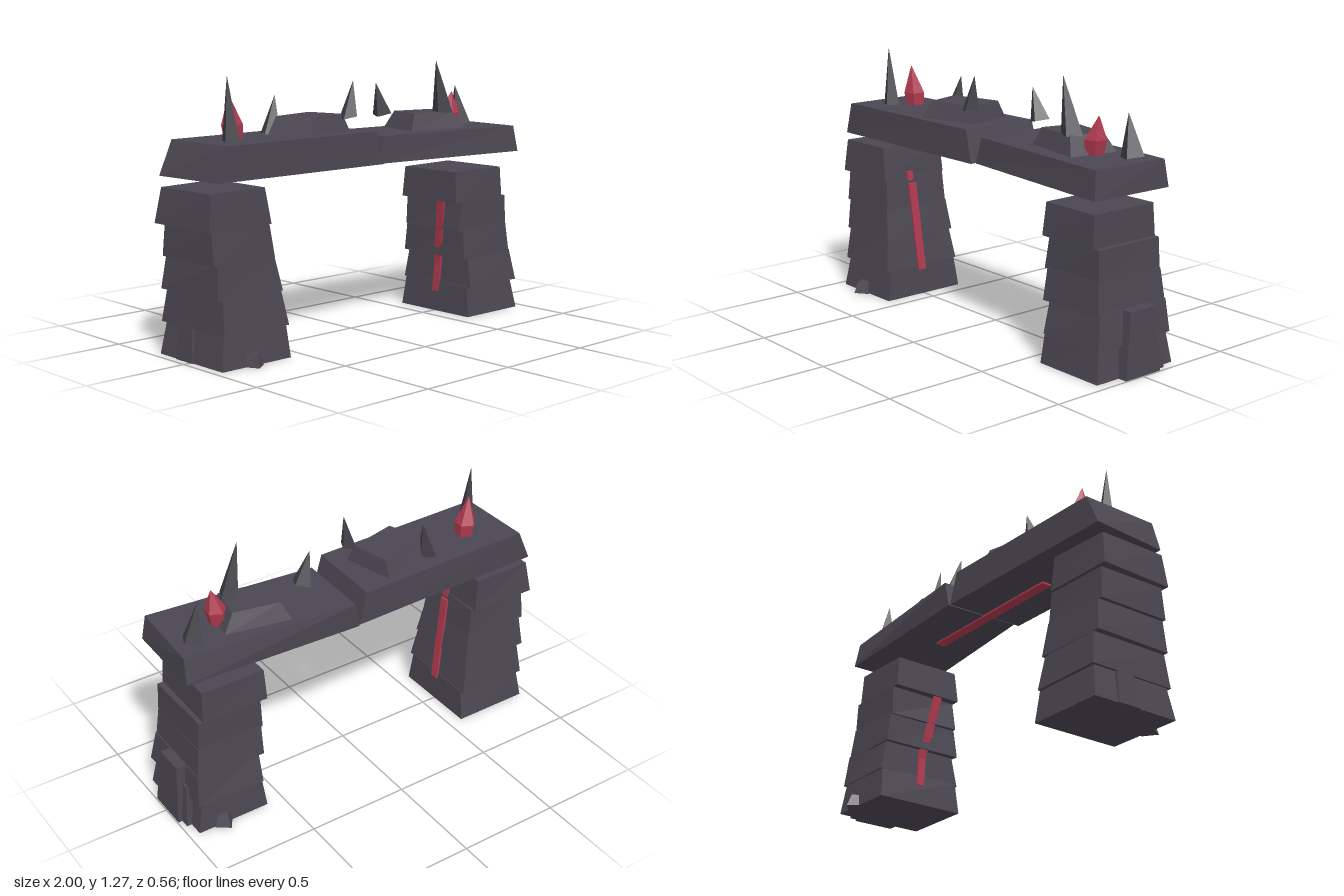
import * as THREE from 'three';

const stone = new THREE.MeshStandardMaterial({ color: 0x4b4752 });
stone.name = 'dark stone';
const spikeStone = new THREE.MeshStandardMaterial({ color: 0x403e45 });
spikeStone.name = 'spike stone';
const ember = new THREE.MeshStandardMaterial({ color: 0xb03a4e });
ember.name = 'red crystal';

// Small seeded noise in -1..1
let seed = 7;
const noise = () => {
  seed = (seed * 16807) % 2147483647;
  return (seed / 2147483647) * 2 - 1;
};

// Flat-faced solid through rings of [x, y, z], ordered counter-clockwise from above, bottom to top
function loft(name, material, rings) {
  const pos = [];
  const tri = (a, b, c) => pos.push(...a, ...b, ...c);
  const n = rings[0].length;
  for (let r = 0; r < rings.length - 1; r++) {
    for (let i = 0; i < n; i++) {
      const j = (i + 1) % n;
      const lo = rings[r], hi = rings[r + 1];
      tri(lo[i], lo[j], hi[j]);
      tri(lo[i], hi[j], hi[i]);
    }
  }
  const top = rings[rings.length - 1], base = rings[0];
  for (let i = 1; i < n - 1; i++) {
    tri(base[0], base[i + 1], base[i]);
    tri(top[0], top[i], top[i + 1]);
  }
  const g = new THREE.BufferGeometry();
  g.setAttribute('position', new THREE.Float32BufferAttribute(pos, 3));
  g.computeVertexNormals();
  const m = new THREE.Mesh(g, material);
  m.name = name;
  return m;
}

// Rectangle ring, corners listed front left, front right, back right, back left
const rect = (x0, x1, z0, z1, y, jitter = 0) =>
  [[x0, z1], [x1, z1], [x1, z0], [x0, z0]].map(([x, z]) =>
    [x + noise() * jitter, y + noise() * jitter * 0.4, z + noise() * jitter]);

const at = (y, corners) => corners.map(([x, z]) => [x, y, z]);

// Regular polygon ring
const poly = (n, x, y, z, r, turn = 0) => Array.from({ length: n }, (_, i) => {
  const a = turn + (i / n) * Math.PI * 2;
  return [x + Math.cos(a) * r, y, z - Math.sin(a) * r];
});

// Stack of rough courses: [y0, y1, bottom x0, bottom x1, top x0, top x1, half depth bottom, half depth top]
function pillar(name, courses) {
  const g = new THREE.Group();
  g.name = name;
  courses.forEach(([y0, y1, a0, a1, b0, b1, db, dt], i) => {
    const bottom = rect(a0, a1, -db, db, y0, i ? 0.006 : 0);
    bottom.forEach((p) => { p[1] = y0; });
    g.add(loft('course' + (i + 1), stone, [bottom, rect(b0, b1, -dt, dt, y1, 0.006)]));
  });
  return g;
}

// Thin strip lying on an inner pillar face, from point a down to point b
function vein(name, a, b, width, side) {
  const strip = ([x, y, z]) => {
    const h = width / 2, t = 0.012;
    const [x0, x1] = side > 0 ? [x - t, x] : [x, x + t];
    return rect(x0, x1, z - h, z + h, y);
  };
  return loft(name, ember, [strip(b), strip(a)]);
}

export function createModel() {
  const model = new THREE.Group();
  model.name = 'ruinedStoneGate';

  // Pillars
  const right = pillar('rightPillar', [
    [0, 0.155, -0.96, -0.575, -0.94, -0.585, 0.225, 0.205],
    [0.15, 0.31, -0.95, -0.585, -0.935, -0.61, 0.22, 0.195],
    [0.305, 0.46, -0.965, -0.6, -0.95, -0.63, 0.2, 0.185],
    [0.455, 0.61, -0.975, -0.625, -0.965, -0.645, 0.185, 0.175],
    [0.605, 0.767, -1.0, -0.65, -0.98, -0.67, 0.185, 0.175],
  ]);
  const left = pillar('leftPillar', [
    [0, 0.15, 0.585, 0.95, 0.6, 0.925, 0.23, 0.21],
    [0.145, 0.3, 0.6, 0.945, 0.605, 0.925, 0.225, 0.2],
    [0.29, 0.44, 0.575, 0.925, 0.585, 0.905, 0.205, 0.19],
    [0.43, 0.58, 0.565, 0.91, 0.58, 0.9, 0.19, 0.18],
    [0.575, 0.728, 0.54, 0.875, 0.55, 0.87, 0.19, 0.175],
  ]);
  model.add(right, left);

  // Slabs and rubble leaning on the feet
  left.add(
    loft('buttress', stone, [rect(0.91, 0.995, -0.11, 0.1, 0), rect(0.9, 0.975, -0.09, 0.06, 0.3)]),
    loft('smallButtress', stone, [rect(0.91, 0.975, -0.155, -0.09, 0), rect(0.9, 0.95, -0.125, -0.08, 0.2)]),
    loft('rubble', stone, [
      at(0, [[0.75, -0.19], [0.85, -0.18], [0.87, -0.235], [0.81, -0.28]]),
      at(0.058, [[0.77, -0.19], [0.84, -0.18], [0.85, -0.225], [0.81, -0.255]]),
    ]),
  );
  right.add(
    loft('footSlab', stone, [rect(-0.967, -0.92, -0.1, 0.02, 0), rect(-0.952, -0.91, -0.09, 0.0, 0.15)]),
    loft('rubble', stone, [
      at(0, [[-0.8, 0.28], [-0.74, 0.235], [-0.76, 0.18], [-0.85, 0.19]]),
      at(0.058, [[-0.8, 0.255], [-0.75, 0.225], [-0.77, 0.18], [-0.83, 0.19]]),
    ]),
  );

  // Red veins on the inner faces
  right.add(
    vein('veinLong', [-0.628, 0.575, 0.025], [-0.572, 0.13, 0.01], 0.045, 1),
    vein('veinTip', [-0.64, 0.635, 0.03], [-0.635, 0.59, 0.03], 0.035, 1),
  );
  left.add(
    vein('veinUpper', [0.548, 0.58, 0.07], [0.575, 0.35, 0.03], 0.045, -1),
    vein('veinMiddle', [0.575, 0.37, 0.03], [0.59, 0.25, 0.01], 0.04, -1),
    vein('veinLower', [0.594, 0.29, 0.015], [0.588, 0.1, 0], 0.04, -1),
  );

  // Broken lintel in two halves
  const lintel = new THREE.Group();
  lintel.name = 'lintel';
  model.add(lintel);
  lintel.add(
    loft('lintelRight', stone, [
      at(0.812, [[-0.95, 0.2], [0.04, 0.185], [0.055, -0.22], [-0.975, -0.19]]),
      at(0.968, [[-0.905, 0.2], [0.0, 0.18], [0.012, -0.215], [-0.905, -0.19]]),
    ]),
    loft('lintelLeft', stone, [
      at(0.81, [[0.04, 0.155], [0.93, 0.243], [0.94, -0.19], [0.06, -0.225]]),
      at(0.938, [[0.075, 0.15], [0.915, 0.225], [0.935, -0.165], [0.085, -0.23]]),
    ]),
    loft('undersideVein', ember, [
      rect(-0.4, 0.44, -0.025, 0.025, 0.802),
      rect(-0.4, 0.44, -0.025, 0.025, 0.816),
    ]),
  );
  for (const x of [-0.22, 0.22]) {
    lintel.add(loft('veinNub', ember, [poly(4, x, 0.792, 0, 0.004), poly(4, x, 0.805, 0, 0.035)]));
  }

  // Raised rock slabs on top
  lintel.add(
    loft('rockRight', stone, [
      at(0.96, [[-0.38, 0.155], [-0.075, 0.08], [-0.14, -0.18], [-0.47, -0.1]]),
      at(1.048, [[-0.345, 0.11], [-0.1, 0.05], [-0.145, -0.135], [-0.4, -0.07]]),
    ]),
    loft('rockLeft', stone, [
      at(0.935, [[0.34, 0.07], [0.66, 0.13], [0.7, -0.11], [0.385, -0.17]]),
      at(1.02, [[0.38, 0.05], [0.61, 0.09], [0.64, -0.085], [0.42, -0.13]]),
    ]),
  );

  // Spikes: base x, y, z, radius, tip x, y, z, base tilt
  const spikes = [
    [-0.762, 0.965, 0.05, 0.045, -0.78, 1.25, 0.05, 0],
    [-0.42, 0.965, -0.09, 0.053, -0.385, 1.14, -0.1, 0],
    [-0.09, 1.035, 0.08, 0.046, -0.06, 1.2, 0.08, 0.01],
    [0.257, 1.02, -0.05, 0.05, 0.21, 1.17, -0.045, 0.012],
    [0.58, 1.015, 0.05, 0.055, 0.525, 1.27, 0.055, 0],
    [0.835, 0.94, -0.07, 0.058, 0.803, 1.13, -0.075, 0.01],
  ];
  for (const [x, y, z, r, tx, ty, tz, tilt] of spikes) {
    const base = poly(4, x, y, z, r, 0.35);
    base.forEach((p) => { p[1] += ((p[0] - x) / r) * tilt; });
    lintel.add(loft('spike', spikeStone, [base, poly(4, tx, ty, tz, 0.001, 0.35)]));
  }

  // Red crystals: base x, y, z, tip x, y, z
  const crystals = [
    [-0.68, 0.955, -0.04, -0.705, 1.16, -0.035],
    [0.67, 0.93, 0.0, 0.697, 1.11, 0.0],
  ];
  for (const [x, y, z, tx, ty, tz] of crystals) {
    lintel.add(loft('crystal', ember, [
      poly(5, x, y, z, 0.042, 0.5),
      poly(5, x + (tx - x) * 0.3, y + 0.075, z, 0.053, 0.5),
      poly(5, tx, ty, tz, 0.002, 0.5),
    ]));
  }
  return model;
}
